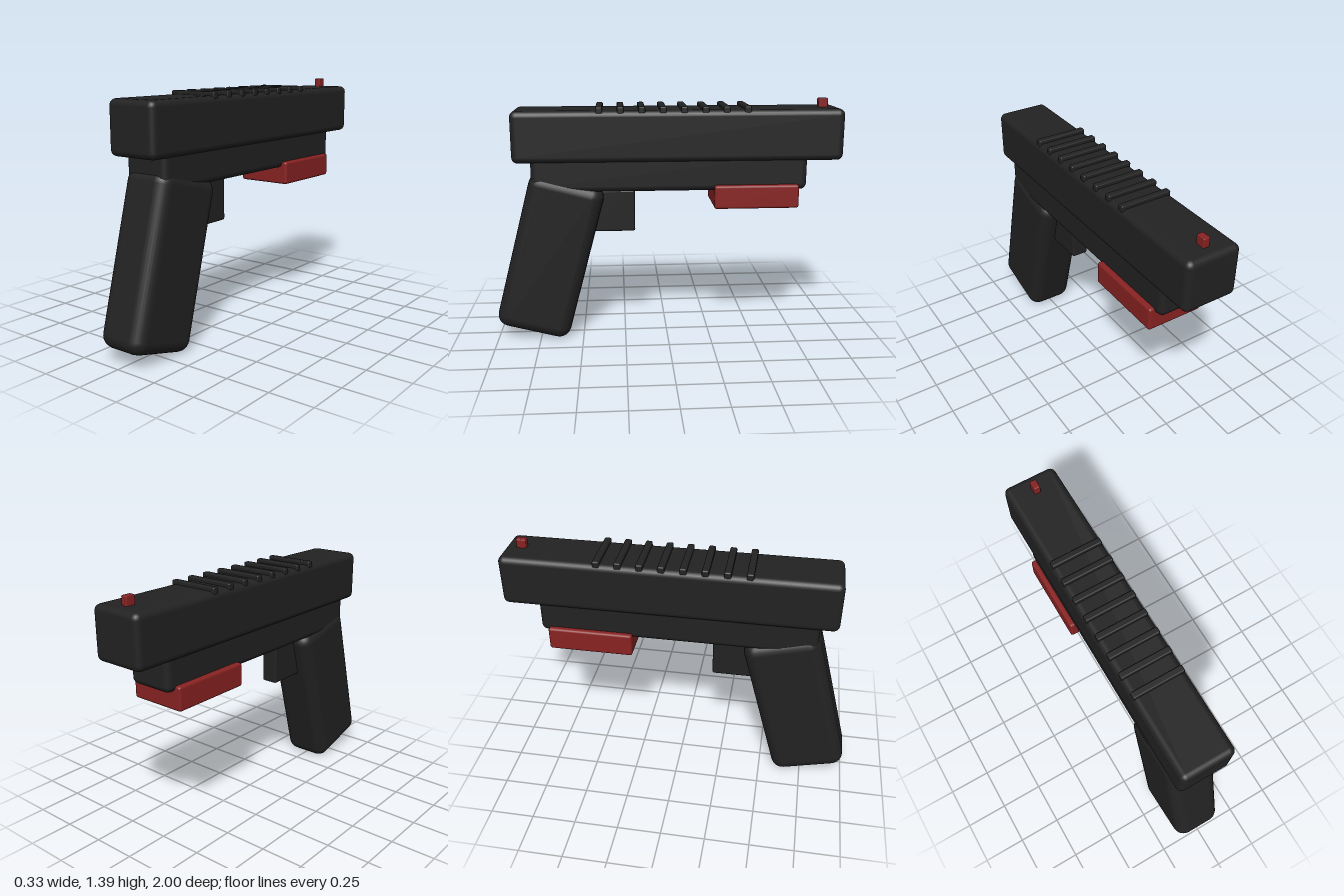
import * as THREE from 'three';
import { RoundedBoxGeometry } from 'three/addons/geometries/RoundedBoxGeometry.js';

const black = new THREE.MeshStandardMaterial({ color: 0x222222 });
black.name = 'matte black';
const red = new THREE.MeshStandardMaterial({ color: 0x882222 });
red.name = 'dark red';

// Rounded block given its size, centre height and centre depth
function block(name, material, [w, h, d], y, z, radius, segments = 3) {
  const mesh = new THREE.Mesh(new RoundedBoxGeometry(w, h, d, segments, radius), material);
  mesh.name = name;
  mesh.position.set(0, y, z);
  return mesh;
}

export function createModel() {
  const model = new THREE.Group();
  model.name = 'toyBlaster';

  // Main body
  model.add(block('slide', black, [0.31, 0.29, 1.87], 1.205, -0.065, 0.035));
  model.add(block('frame', black, [0.27, 0.24, 1.57], 1.01, -0.015, 0.035));

  // Handle leaning back
  const grip = block('grip', black, [0.29, 0.94, 0.435], 0.5, 0.681, 0.07);
  grip.rotation.x = -Math.PI / 12;
  model.add(grip);

  model.add(block('trigger', black, [0.1, 0.245, 0.25], 0.762, 0.31, 0.012));
  model.add(block('underRail', red, [0.33, 0.135, 0.485], 0.857, -0.507, 0.014));

  // Raised ribs across the top
  const ribs = new THREE.Group();
  ribs.name = 'topRibs';
  for (let i = 0; i < 8; i++) {
    ribs.add(block('rib', black, [0.296, 0.04, 0.038], 1.351, 0.381 - i * 0.1183, 0.008, 2));
  }
  model.add(ribs);

  model.add(block('sight', red, [0.038, 0.07, 0.056], 1.365, -0.902, 0.006, 2));
  return model;
}
